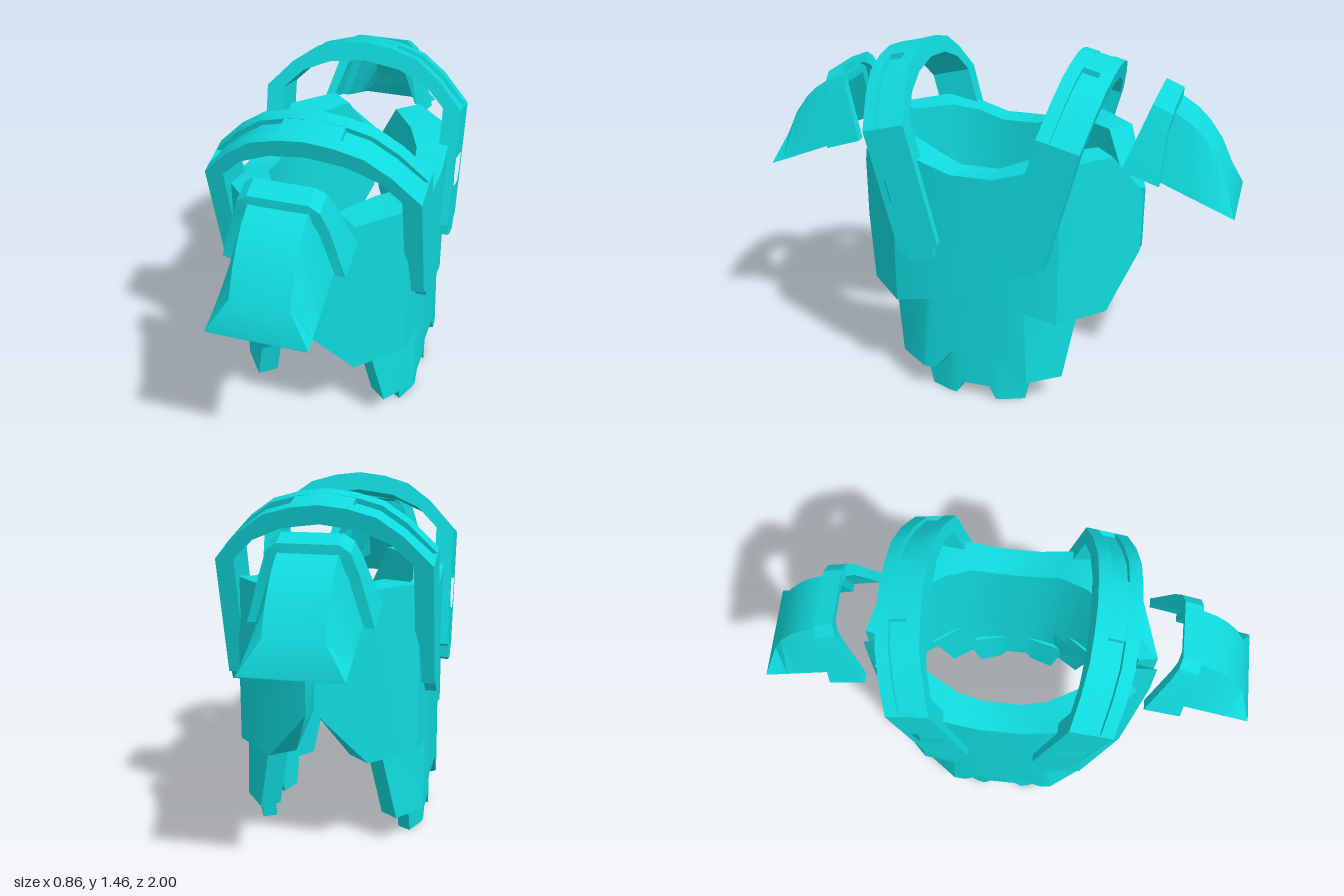
import * as THREE from 'three';
import { toCreasedNormals } from 'three/addons/utils/BufferGeometryUtils.js';

const teal = new THREE.MeshStandardMaterial({ color: 0x10dadd });
teal.name = 'teal';

function part(name, geometry) {
  const mesh = new THREE.Mesh(toCreasedNormals(geometry, 0.5), teal);
  mesh.name = name;
  return mesh;
}

// Solid lofted through equal-sized closed loops of [x, y, z], capped at both ends
function loft(loops) {
  const n = loops[0].length;
  const tris = [];
  const quad = (a, b, c, d) => tris.push([a, b, c], [a, c, d]);
  for (let i = 0; i < loops.length - 1; i++) {
    for (let j = 0; j < n; j++) {
      const k = (j + 1) % n;
      quad(loops[i][j], loops[i][k], loops[i + 1][k], loops[i + 1][j]);
    }
  }
  // Each loop is a strip: first half outer, second half inner in reverse
  const first = loops[0], last = loops[loops.length - 1];
  for (let j = 0; j < n / 2 - 1; j++) {
    quad(first[n - 1 - j], first[n - 2 - j], first[j + 1], first[j]);
    quad(last[j], last[j + 1], last[n - 2 - j], last[n - 1 - j]);
  }
  // Turn the faces outward
  let volume = 0;
  const v = tris.map((t) => t.map((p) => new THREE.Vector3(...p)));
  for (const [a, b, c] of v) volume += a.dot(b.clone().cross(c));
  const points = v.flatMap(([a, b, c]) => (volume < 0 ? [a, c, b] : [a, b, c]));
  return new THREE.BufferGeometry().setFromPoints(points);
}

// Wrapped plate from columns running from the middle of the side to its front edge:
// [outer x, outer z, inner x, inner z, top y, bottom y, x and z shift at the bottom]
function plate(name, columns, side) {
  const column = ([xo, zo, xi, zi, top, bottom, dx = 0, dz = 0], s) => [
    [side * xo, top, s * zo], [side * (xo + dx), bottom, s * (zo + dz)],
    [side * (xi + dx), bottom, s * (zi + dz)], [side * xi, top, s * zi],
  ];
  const back = columns.map((c) => column(c, -1)).reverse();
  return part(name, loft([...back, ...columns.map((c) => column(c, 1))]));
}

const upperPlate = [
  [0.40, 0.09, 0.28, 0.08, 1.04, 0.49],
  [0.395, 0.21, 0.268, 0.18, 1.08, 0.46],
  [0.37, 0.35, 0.215, 0.29, 1.11, 0.42],
  [0.20, 0.52, 0.11, 0.44, 1.11, 0.42],
  [0.025, 0.62, 0.01, 0.54, 0.90, 0.635],
];
const middlePlate = [
  [0.392, 0.10, 0.31, 0.09, 0.52, 0.22],
  [0.388, 0.18, 0.30, 0.15, 0.52, 0.12],
  [0.380, 0.21, 0.29, 0.17, 0.52, 0.12, 0.005, 0.02],
  [0.215, 0.425, 0.145, 0.37, 0.52, 0.12, 0.075, -0.065],
];
const lowerPlate = [
  [0.370, 0.06, 0.31, 0.05, 0.26, 0.06],
  [0.368, 0.09, 0.305, 0.08, 0.26, 0],
  [0.362, 0.12, 0.30, 0.10, 0.26, 0],
  [0.318, 0.265, 0.265, 0.235, 0.26, 0, 0.008, -0.055],
];

const shapeOf = (pts) => new THREE.Shape(pts.map((p) => new THREE.Vector2(...p)));
const mirrorX = (pts) => [...pts, ...pts.slice(0, -1).reverse().map(([x, y]) => [-x, y])];

// Arch outline: outer curve from right to left, then back along the inner curve
function archBand(outer, from, to) {
  const inner = [[0.355, 0], [0.27, 0.085], [0.15, 0.138], [0, 0.158]];
  const shape = shapeOf([...mirrorX(outer), ...mirrorX(inner).reverse()]);
  return new THREE.ExtrudeGeometry(shape, { depth: to - from, bevelEnabled: false }).translate(0, 0, from);
}

// Tilted hoop with slots along the arch and shield-shaped sockets in the legs
function hoop(name) {
  const group = new THREE.Group();
  group.name = name;
  const w = 0.088, slot = 0.035;
  const full = [[0.43, 0], [0.32, 0.117], [0.22, 0.19], [0.11, 0.222], [0, 0.235]];
  const slotted = [[0.41, 0], [0.308, 0.10], [0.212, 0.17], [0.12, 0.197], [0.12, 0.219], [0, 0.235]];
  group.add(part('archBackBand', archBand(full, -w, -slot)));
  group.add(part('archSlotBand', archBand(slotted, -slot, slot)));
  group.add(part('archFrontBand', archBand(full, slot, w)));

  const leg = shapeOf(mirrorX([[w, 0], [w, -0.513], [0.064, -0.52], [0.052, -0.57], [0, -0.58]]));
  const socket = mirrorX([[0.06, -0.215], [0.06, -0.30], [0.038, -0.345], [0, -0.35]]);
  leg.holes.push(new THREE.Path(socket.map((p) => new THREE.Vector2(...p))));
  for (const side of [1, -1]) {
    const geometry = new THREE.ExtrudeGeometry(leg, { depth: 0.075, bevelEnabled: false })
      .translate(0, 0, -0.0375).rotateY(Math.PI / 2).translate(side * 0.3925, 0, 0);
    group.add(part('hoopLeg', geometry));
    const floor = new THREE.BoxGeometry(0.03, 0.16, 0.14).translate(side * 0.388, -0.28, 0);
    group.add(part('socketFloor', floor));
  }
  group.rotation.x = 0.252;
  group.position.set(0, 1.215, 0.35);
  const holder = new THREE.Group();
  holder.add(group);
  return holder;
}

// Hooded visor with a flared tip and an arched collar behind it
function visor(name, s) {
  const group = new THREE.Group();
  group.name = name;
  const cx = -0.0185, rim = 0.1925, wall = 0.03;
  // [z, ridge y, ridge half width, rim y]
  const sections = [
    [0.67, 1.295, 0.1125, 1.03], [0.735, 1.28, 0.1125, 1.003], [0.80, 1.238, 0.1125, 0.976],
    [0.85, 1.19, 0.1125, 0.956], [0.905, 1.115, 0.1125, 0.933], [0.95, 1.02, 0.1125, 0.915],
    [1.0, 0.90, rim, 0.895],
  ];
  const hood = sections.map(([z, ridge, half, low]) => {
    const inRidge = Math.max(low, ridge - 0.035);
    const inHalf = half - wall;
    return [
      [cx - rim, low, s * z], [cx - half, ridge, s * z], [cx + half, ridge, s * z], [cx + rim, low, s * z],
      [cx + rim - wall, low, s * z], [cx + inHalf, inRidge, s * z],
      [cx - inHalf, inRidge, s * z], [cx - rim + wall, low, s * z],
    ];
  });
  group.add(part('visorHood', loft(hood)));

  // [half width, y, z] at the back edge, then at the front edge
  const arch = [
    [0.24, 1.065, 0.555, 0.238, 1.015, 0.705, 0],
    [0.178, 1.265, 0.63, 0.182, 1.21, 0.715, 0.012],
    [0.152, 1.32, 0.65, 0.155, 1.285, 0.73, 0.03],
    [0.115, 1.345, 0.66, 0.115, 1.315, 0.735, 0.036],
  ];
  const station = (sign) => ([bx, by, bz, fx, fy, fz, drop]) => [
    [cx + sign * bx, by, s * bz], [cx + sign * fx, fy, s * fz],
    [cx + sign * (fx - 0.04), fy - drop, s * fz], [cx + sign * (bx - 0.04), by - drop, s * bz],
  ];
  group.add(part('visorCollar', loft([...arch.map(station(-1)), ...arch.map(station(1)).reverse()])));
  return group;
}

export function createModel() {
  const model = new THREE.Group();
  model.name = 'armour';
  for (const [label, side] of [['left', 1], ['right', -1]]) {
    model.add(plate(label + 'UpperPlate', upperPlate, side));
    model.add(plate(label + 'MiddlePlate', middlePlate, side));
    model.add(plate(label + 'LowerPlate', lowerPlate, side));
  }
  const frontHoop = hoop('frontHoop');
  const backHoop = hoop('backHoop');
  backHoop.rotation.y = Math.PI;
  model.add(frontHoop, backHoop);
  model.add(visor('frontVisor', 1), visor('backVisor', -1));
  return model;
}
